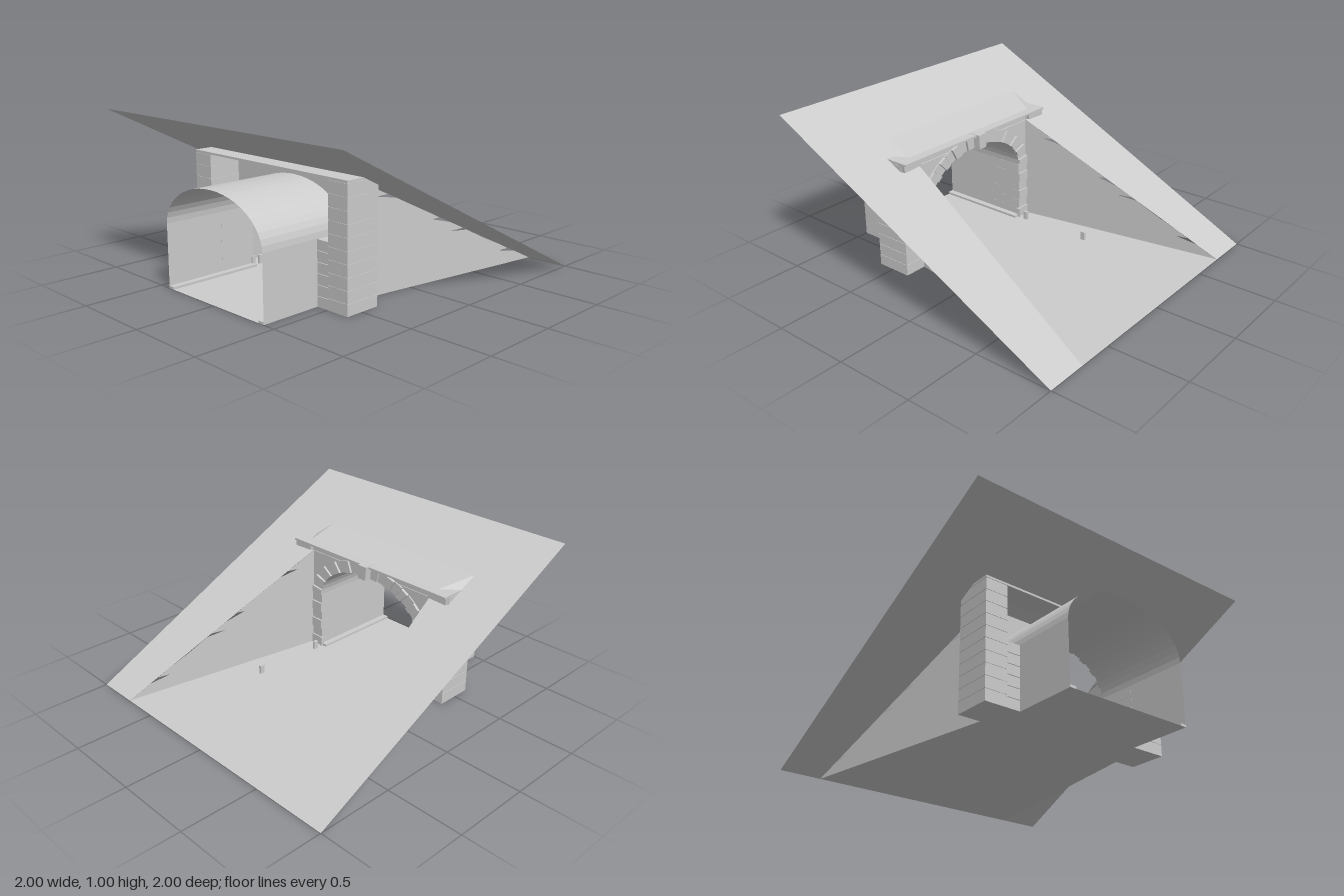
import * as THREE from 'three';

export function createModel() {
  const model = new THREE.Group();
  model.name = 'tunnelPortal';
  const stone = new THREE.MeshStandardMaterial({ color: 0xcccccc, side: THREE.DoubleSide });
  stone.name = 'plain grey';

  const add = (name, geometry) => {
    const mesh = new THREE.Mesh(geometry, stone);
    mesh.name = name;
    model.add(mesh);
    return mesh;
  };
  // Box given by its limits on each axis
  const box = (name, x0, x1, y0, y1, z0, z1) =>
    add(name, new THREE.BoxGeometry(x1 - x0, y1 - y0, Math.abs(z1 - z0))
      .translate((x0 + x1) / 2, (y0 + y1) / 2, (z0 + z1) / 2));
  // Flat shape in (a, b), with each vertex placed by a rule
  const sheet = (name, points, place, hole) => {
    const shape = new THREE.Shape(points.map(p => new THREE.Vector2(...p)));
    if (hole) shape.holes.push(new THREE.Path(hole.map(p => new THREE.Vector2(...p))));
    const g = new THREE.ShapeGeometry(shape);
    const pos = g.attributes.position;
    for (let i = 0; i < pos.count; i++) pos.setXYZ(i, ...place(pos.getX(i), pos.getY(i)));
    g.computeVertexNormals();
    return add(name, g);
  };
  // Outline in (z, y) pushed along x
  const slab = (name, points, x0, x1) => {
    const shape = new THREE.Shape(points.map(([z, y]) => new THREE.Vector2(-z, y)));
    const g = new THREE.ExtrudeGeometry(shape, { depth: x1 - x0, bevelEnabled: false });
    return add(name, g.rotateY(Math.PI / 2).translate(x0, 0, 0));
  };
  const spring = 0.39;
  const inner = t => [0.42 * Math.cos(t), spring + 0.265 * Math.sin(t)];
  const outer = t => [0.505 * Math.cos(t), spring + 0.345 * Math.sin(t)];
  const arc = (fn, from, to, n) =>
    Array.from({ length: n + 1 }, (_, i) => fn(from + (to - from) * i / n));

  // Sloping ground with the cutting left open
  sheet('slopingGround',
    [[-1, -1], [1, -1], [1, -0.732], [-0.375, -0.505], [-0.375, 0.505], [1, 0.732], [1, 1], [-1, 1]],
    (x, z) => [x, (1 - x) / 2, -z]);

  // Floor of the tunnel and the widening cutting
  sheet('floor',
    [[-1, -0.42], [-0.375, -0.42], [-0.375, -0.505], [1, -0.732],
      [1, 0.732], [-0.375, 0.505], [-0.375, 0.42], [-1, 0.42]],
    (x, z) => [x, 0, -z]);

  // Tunnel lining, open at both ends
  const profile = [[0.42, 0], ...arc(inner, 0, Math.PI, 24), [-0.42, 0]];
  const verts = [], index = [];
  profile.forEach(([z, y], i) => {
    verts.push(-1, y, z, -0.375, y, z);
    if (i) index.push(2 * i - 2, 2 * i - 1, 2 * i, 2 * i, 2 * i - 1, 2 * i + 1);
  });
  const lining = new THREE.BufferGeometry();
  lining.setAttribute('position', new THREE.Float32BufferAttribute(verts, 3));
  lining.setIndex(index);
  const flatLining = lining.toNonIndexed();
  flatLining.computeVertexNormals();
  add('tunnelLining', flatLining);

  // Front wall above the arch
  slab('spandrelWall', [...arc(outer, 0, Math.PI, 32), [-0.505, 0.735], [0.505, 0.735]], -0.395, -0.378);

  // Arch stones, with a larger keystone in the middle
  const count = 23;
  for (let i = 0; i < count; i++) {
    if (i === (count - 1) / 2) continue;
    const gap = 0.006;
    const a = Math.PI * i / count + gap, b = Math.PI * (i + 1) / count - gap;
    slab('archStone', [...arc(inner, a, b, 3), ...arc(outer, b, a, 3)], -0.395, i % 2 ? -0.37 : -0.36);
  }
  slab('archBacking', [...arc(inner, 0, Math.PI, 32), ...arc(outer, Math.PI, 0, 32)], -0.395, -0.375);
  slab('keystone', [[-0.03, 0.655], [0.03, 0.655], [0.035, 0.747], [-0.035, 0.747]], -0.395, -0.315);

  // Coping over the portal
  box('coping', -0.61, -0.338, 0.732, 0.745, -0.65, 0.65);

  // Ground fill on top of the coping
  const A = [-0.61, 0.805, 0.55], B = [-0.4, 0.746, 0.55], C = [-0.49, 0.746, 0.6];
  const D = [-0.61, 0.805, -0.65], E = [-0.4, 0.746, -0.55], F = [-0.49, 0.746, -0.65];
  const fill = new THREE.BufferGeometry();
  fill.setAttribute('position', new THREE.Float32BufferAttribute(
    [A, B, E, A, E, D, A, C, B, D, E, F].flat(), 3));
  fill.computeVertexNormals();
  add('groundFill', fill);

  // Cutting wall panels: [x, y, x, y, ...] along each top edge
  const tops = [
    [-0.375, 0.685, -0.25, 0.622],
    [-0.25, 0.622, -0.17, 0.585, -0.25, 0.58, -0.11, 0.555],
    [-0.11, 0.555, 0.025, 0.487],
    [0.025, 0.487, 0.165, 0.417],
    [0.165, 0.417, 0.215, 0.39, 0.165, 0.385, 0.305, 0.347],
    [0.305, 0.347, 0.41, 0.295, 0.305, 0.29, 0.44, 0.278],
    [0.44, 0.278, 0.58, 0.205],
    [0.58, 0.205, 0.72, 0.14],
    [0.72, 0.14, 0.8, 0.098, 0.72, 0.095, 0.86, 0.07],
    [0.86, 0.07, 1, 0],
  ];

  for (const s of [1, -1]) {
    for (const t of tops) {
      const pts = [];
      for (let i = 0; i < t.length; i += 2) pts.push([t[i], t[i + 1]]);
      pts.push([t[t.length - 2], 0], [t[0], 0]);
      sheet('cuttingWallPanel', pts, (x, y) => [x, y, s * (0.505 + (x + 0.375) * 0.165)]);
    }

    // Side pillars in courses around a core
    const courses = 10, h = 0.732 / courses;
    box('pillarCore', -0.607, -0.378, 0, 0.732, s * 0.508, s * 0.647);
    for (let i = 0; i < courses; i++)
      box('pillarCourse', -0.61, -0.375, i * h, (i + 1) * h - 0.004, s * 0.505, s * 0.65);

    // Jamb stones below the arch
    for (let i = 0; i < 6; i++)
      box('jambStone', -0.61, i % 2 ? -0.368 : -0.36, i * 0.065, (i + 1) * 0.065 - 0.003, s * 0.419, s * 0.506);

    // Brackets under the coping
    slab('copingBracket', [[s * 0.51, 0.695], [s * 0.645, 0.69], [s * 0.65, 0.732], [s * 0.505, 0.732]], -0.395, -0.35);

    // Kerb along the tunnel, end stone and marker posts
    box('kerb', -1, -0.37, 0, 0.015, s * 0.38, s * 0.42);
    box('kerbEndStone', -0.38, -0.355, 0, 0.06, s * 0.41, s * 0.425);
    for (const x of [-0.305, 0.18])
      box('markerPost', x - 0.015, x + 0.015, 0, 0.055, s * 0.41, s * 0.428);
  }
  return model;
}
